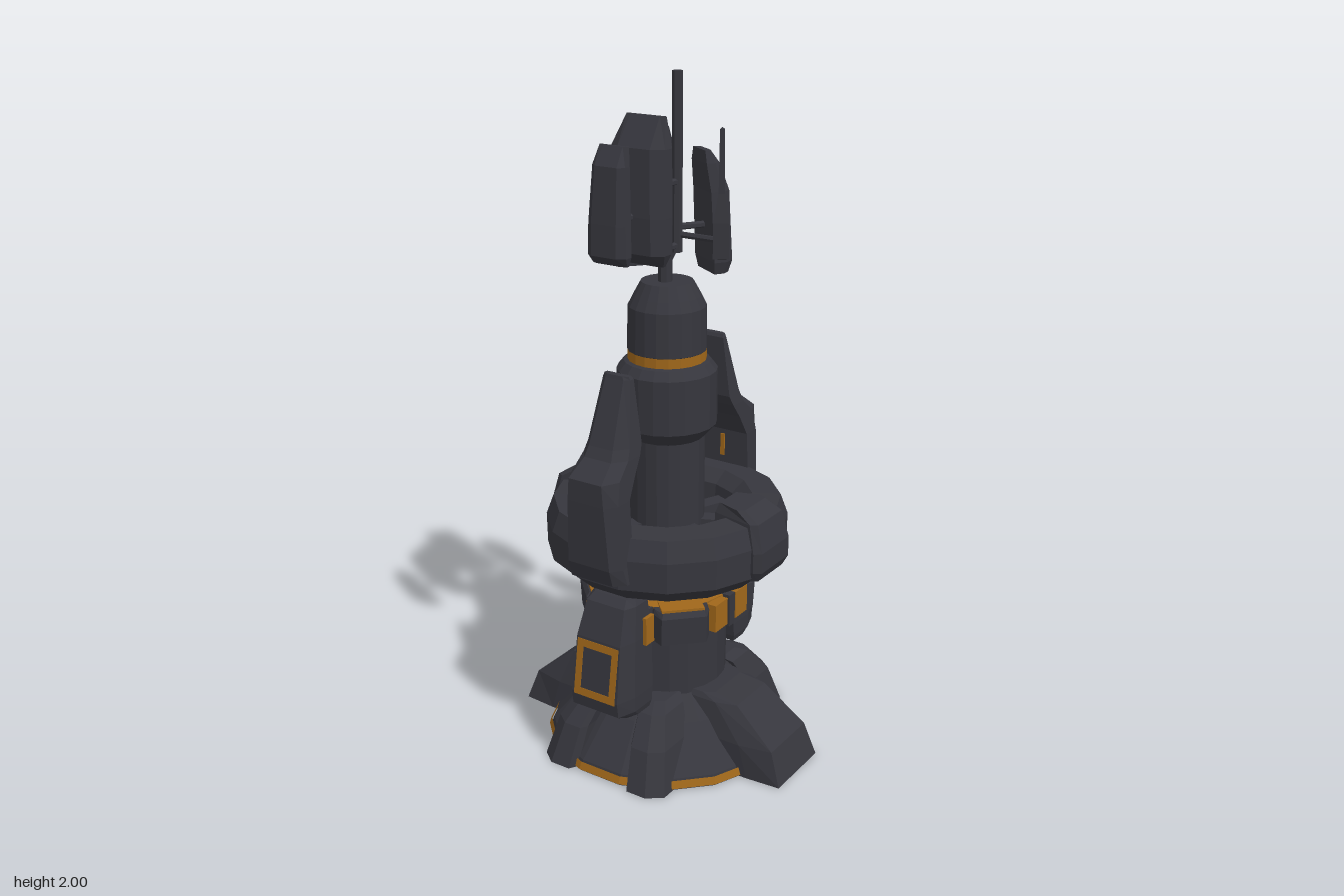
import * as THREE from 'three';

const dark = new THREE.MeshStandardMaterial({ color: 0x36363d, side: THREE.DoubleSide });
const orange = new THREE.MeshStandardMaterial({ color: 0xa0671a, side: THREE.DoubleSide });
dark.name = 'dark grey armour';
orange.name = 'orange trim';
for (const m of [dark, orange]) m.flatShading = true;

export function createModel() {
  const model = new THREE.Group();
  model.name = 'commsTower';

  function add(name, geo, mat, parent = model) {
    const mesh = new THREE.Mesh(geo, mat);
    mesh.name = name;
    parent.add(mesh);
    return mesh;
  }

  function group(name, angle = 0, parent = model) {
    const g = new THREE.Group();
    g.name = name;
    g.rotation.y = angle;
    parent.add(g);
    return g;
  }

  // Faceted solid through a stack of equal-sized point rings; the bottom may stay open
  function loft(rings, closedBottom = true) {
    const tris = [], n = rings[0].length;
    for (let r = 0; r < rings.length - 1; r++) {
      for (let i = 0; i < n; i++) {
        const j = (i + 1) % n, A = rings[r], B = rings[r + 1];
        tris.push([A[i], A[j], B[j]], [A[i], B[j], B[i]]);
      }
    }
    const first = rings[0], last = rings[rings.length - 1];
    for (let i = 1; i < n - 1; i++) {
      if (closedBottom) tris.push([first[0], first[i + 1], first[i]]);
      tris.push([last[0], last[i], last[i + 1]]);
    }
    // Turn all faces outward whichever way the rings run
    const V = (p) => new THREE.Vector3(...p);
    const volume = tris.reduce((s, t) => s + V(t[0]).dot(V(t[1]).cross(V(t[2]))), 0);
    if (volume < 0) tris.forEach((t) => t.reverse());
    const geo = new THREE.BufferGeometry();
    geo.setAttribute('position', new THREE.Float32BufferAttribute(tris.flat(2), 3));
    geo.computeVertexNormals();
    return geo;
  }

  // Bevelled slab facing +z; rows are [y, zInner, zOuter, halfWidth, halfWidthOuter]
  function slab(rows, closedBottom) {
    return loft(rows.map(([y, zi, zo, w, wo]) => {
      const zm = zi + (zo - zi) * 0.6;
      return [[w, y, zi], [w, y, zm], [wo, y, zo], [-wo, y, zo], [-w, y, zm], [-w, y, zi]];
    }), closedBottom);
  }

  // Turned part; start puts a flat or a corner to the front
  const turned = (pts, sides, start = 0) =>
    new THREE.LatheGeometry(pts.map((p) => new THREE.Vector2(...p)), sides, start);

  function rod(name, from, to, r, parent, sides = 6) {
    const a = new THREE.Vector3(...from), b = new THREE.Vector3(...to);
    const mesh = add(name, new THREE.CylinderGeometry(r, r, a.distanceTo(b), sides), dark, parent);
    mesh.position.copy(a).add(b).multiplyScalar(0.5);
    mesh.quaternion.setFromUnitVectors(new THREE.Vector3(0, 1, 0), b.sub(a).normalize());
  }

  function box(name, size, pos, mat, parent) {
    const mesh = add(name, new THREE.BoxGeometry(...size), mat, parent);
    mesh.position.set(...pos);
  }

  // Hollow base skirt with trim strip
  const half = Math.PI / 16;
  add('baseSkirt', turned([[0.362, 0], [0.352, 0.03], [0.25, 0.15], [0.18, 0.21]], 16, half), dark);
  add('baseTrim', turned([[0.367, 0.005], [0.36, 0.028]], 16, half), orange);

  // Two long side feet
  for (const a of [1, -1]) {
    add('sideFoot', slab([
      [0, 0.2, 0.465, 0.12, 0.112], [0.1, 0.18, 0.43, 0.118, 0.098],
      [0.205, 0.14, 0.3, 0.1, 0.08], [0.22, 0.14, 0.22, 0.09, 0.07],
    ], false), dark, group('sideFootGroup', a * Math.PI / 2));
  }

  // Four diagonal feet
  const footPlan = [[0.09, 0.2], [0.09, 0.345], [0.105, 0.37], [0.17, 0.37], [0.215, 0.335], [0.215, 0.2]];
  for (const sx of [1, -1]) {
    for (const sz of [1, -1]) {
      add('diagonalFoot', loft([[0, 1], [0.12, 0.88], [0.2, 0.7], [0.22, 0.58]].map(
        ([y, s]) => footPlan.map(([x, z]) => [sx * x * s, y, sz * z * s])), false), dark);
    }
  }

  // Lower column with rows of dashes, left bare at the sides
  add('lowerColumn', turned([[0, 0.18], [0.18, 0.18], [0.18, 0.58], [0.2, 0.62], [0.2, 0.66], [0.11, 0.7]], 20), dark);
  for (let i = 0; i < 16; i++) {
    const angle = (i + 0.5) * Math.PI / 8;
    if (Math.abs(Math.sin(angle)) > 0.9) continue;
    box('dashPlate', [0.04, 0.02, 0.008], [0, 0.39, 0.179], orange, group('columnDash', angle));
  }

  // Clamp collar: trim band with dark blocks
  add('collarBand', turned([[0.17, 0.42], [0.21, 0.425], [0.21, 0.515], [0.17, 0.52]], 16), orange);
  for (const sx of [1, -1]) {
    for (const sz of [1, -1]) {
      const g = group('collarBlock', Math.atan2(sx, sz));
      add('clampBlock', slab([
        [0.415, 0.15, 0.25, 0.082, 0.066], [0.5, 0.15, 0.255, 0.082, 0.066], [0.514, 0.15, 0.245, 0.078, 0.06],
      ]), dark, g);
      box('clampTopTrim', [0.125, 0.009, 0.09], [0, 0.517, 0.196], orange, g);
      box('sidePad', [0.03, 0.085, 0.065], [sx * 0.213, 0.47, sz * 0.055], orange);
      box('podTab', [0.012, 0.085, 0.04], [sx * 0.1, 0.47, sz * 0.245], orange);
    }
    box('collarClasp', [0.05, 0.1, 0.03], [sx * 0.205, 0.467, 0], dark);
  }

  // Front and back: equipment pod below, tall fin above
  for (const a of [0, Math.PI]) {
    const g = group('podAndFin', a);
    add('pod', slab([
      [0.215, 0.235, 0.33, 0.095, 0.08], [0.235, 0.23, 0.37, 0.1, 0.08], [0.28, 0.225, 0.376, 0.1, 0.08],
      [0.45, 0.215, 0.351, 0.09, 0.075], [0.55, 0.22, 0.315, 0.08, 0.065], [0.57, 0.23, 0.29, 0.07, 0.055],
    ]), dark, g);
    box('podBracket', [0.16, 0.09, 0.09], [0, 0.47, 0.19], dark, g);
    const frame = group('podFrame', 0, g);
    frame.position.set(0, 0.358, 0.3625);
    frame.rotation.x = -0.146;
    for (const s of [1, -1]) {
      box('frameSide', [0.021, 0.17, 0.008], [s * 0.0605, 0, 0], orange, frame);
      box('frameEdge', [0.142, 0.022, 0.008], [0, s * 0.074, 0], orange, frame);
    }
    add('fin', slab([
      [0.65, 0.3, 0.375, 0.1, 0.07], [0.7, 0.31, 0.39, 0.095, 0.07], [0.89, 0.31, 0.4, 0.085, 0.06],
      [0.955, 0.275, 0.4, 0.08, 0.055], [1.0, 0.245, 0.34, 0.075, 0.045],
      [1.03, 0.23, 0.325, 0.07, 0.04], [1.21, 0.23, 0.258, 0.045, 0.03], [1.22, 0.235, 0.255, 0.04, 0.025],
    ]), dark, g);
    box('finInnerTrim', [0.014, 0.07, 0.006], [0, 0.84, 0.309], orange, g);
  }

  // Wide armoured ring and its side bosses
  add('ring', turned([
    [0.19, 0.58], [0.3, 0.58], [0.355, 0.63], [0.357, 0.72], [0.335, 0.78],
    [0.25, 0.785], [0.21, 0.75], [0.2, 0.64], [0.19, 0.58],
  ], 16, half), dark);
  for (const a of [1, -1]) {
    add('ringBoss', loft([
      [0.62, 0.22, 0.355, 0.9], [0.65, 0.21, 0.37, 1], [0.71, 0.2, 0.37, 1],
      [0.79, 0.2, 0.35, 0.88], [0.82, 0.21, 0.3, 0.75],
    ].map(([y, zi, zo, s]) => [
      [0.06 * s, y, zi], [0.09 * s, y, zo - 0.02], [0.075 * s, y, zo],
      [-0.075 * s, y, zo], [-0.09 * s, y, zo - 0.02], [-0.06 * s, y, zi],
    ])), dark, group('ringBossGroup', a * Math.PI / 2));
  }

  // Small braces between ring and column
  for (let i = 0; i < 8; i++) {
    const g = group('innerBrace', (i + 0.5) * Math.PI / 4);
    box('braceBlock', [0.05, 0.06, 0.12], [0, 0.69, 0.16], dark, g);
  }

  // Upper column, collar and domed cap
  add('upperColumn', turned([
    [0.11, 0.66], [0.11, 0.975], [0.145, 1.015], [0.145, 1.175], [0.125, 1.2], [0.108, 1.205],
  ], 20), dark);
  add('neckTrim', turned([[0.113, 1.203], [0.113, 1.232]], 20), orange);
  add('cap', turned([[0.111, 1.2], [0.111, 1.231], [0.114, 1.233], [0.112, 1.36], [0.097, 1.39], [0.075, 1.43], [0, 1.43]], 20), dark);

  // Masts
  rod('mainMast', [0, 1.42, 0.01], [0, 1.74, 0.01], 0.021, model, 8);
  rod('tallAerial', [0, 1.5, -0.05], [0, 2, -0.05], 0.015, model, 6);
  for (const y of [1.52, 1.7]) rod('aerialBracket', [0, y, 0.01], [0, y, -0.05], 0.01);

  // Antenna panels: large inner and small outer on a shared rod
  const largePanel = slab([
    [1.505, 0.125, 0.14, 0.078, 0.06], [1.54, 0.12, 0.175, 0.094, 0.064], [1.64, 0.115, 0.175, 0.094, 0.062],
    [1.82, 0.105, 0.16, 0.086, 0.052], [1.9, 0.095, 0.105, 0.062, 0.047],
  ]);
  const smallPanel = slab([
    [1.53, 0.262, 0.275, 0.055, 0.04], [1.555, 0.26, 0.3, 0.062, 0.04], [1.64, 0.258, 0.298, 0.06, 0.04],
    [1.79, 0.25, 0.285, 0.052, 0.035], [1.84, 0.243, 0.25, 0.045, 0.03],
  ]);
  for (const [angle, x, y, z] of [[0, 0, 0, 0], [-2.25, -0.005, -0.055, 0.04]]) {
    const g = group('panelPair', angle);
    g.position.set(x, y, z);
    add('largePanel', largePanel, dark, g);
    add('smallPanel', smallPanel, dark, g);
    rod('panelRod', [0, 1.64, 0.01], [0, 1.64, 0.27], 0.01, g);
  }

  // Single rear panel
  const rear = group('rearPanelGroup', Math.PI * 0.82);
  rear.position.set(-0.035, -0.075, -0.048);
  add('rearPanel', slab([
    [1.505, 0.125, 0.175, 0.055, 0.04], [1.54, 0.12, 0.185, 0.065, 0.045], [1.74, 0.11, 0.175, 0.06, 0.04],
    [1.82, 0.1, 0.145, 0.05, 0.035], [1.855, 0.1, 0.12, 0.04, 0.03],
  ]), dark, rear);
  rod('rearPanelRod', [0, 1.64, 0], [0, 1.64, 0.13], 0.01, rear);

  // Slim whip antenna on the left
  rod('whipArm', [0, 1.55, -0.055], [0.14, 1.55, -0.055], 0.009);
  const whip = add('whip', turned([
    [0, 1.495], [0.026, 1.5], [0.026, 1.6], [0.01, 1.68], [0.008, 1.855], [0, 1.86],
  ], 3), dark);
  whip.position.set(0.142, 0, -0.055);
  whip.rotation.y = Math.PI / 2;

  return model;
}
